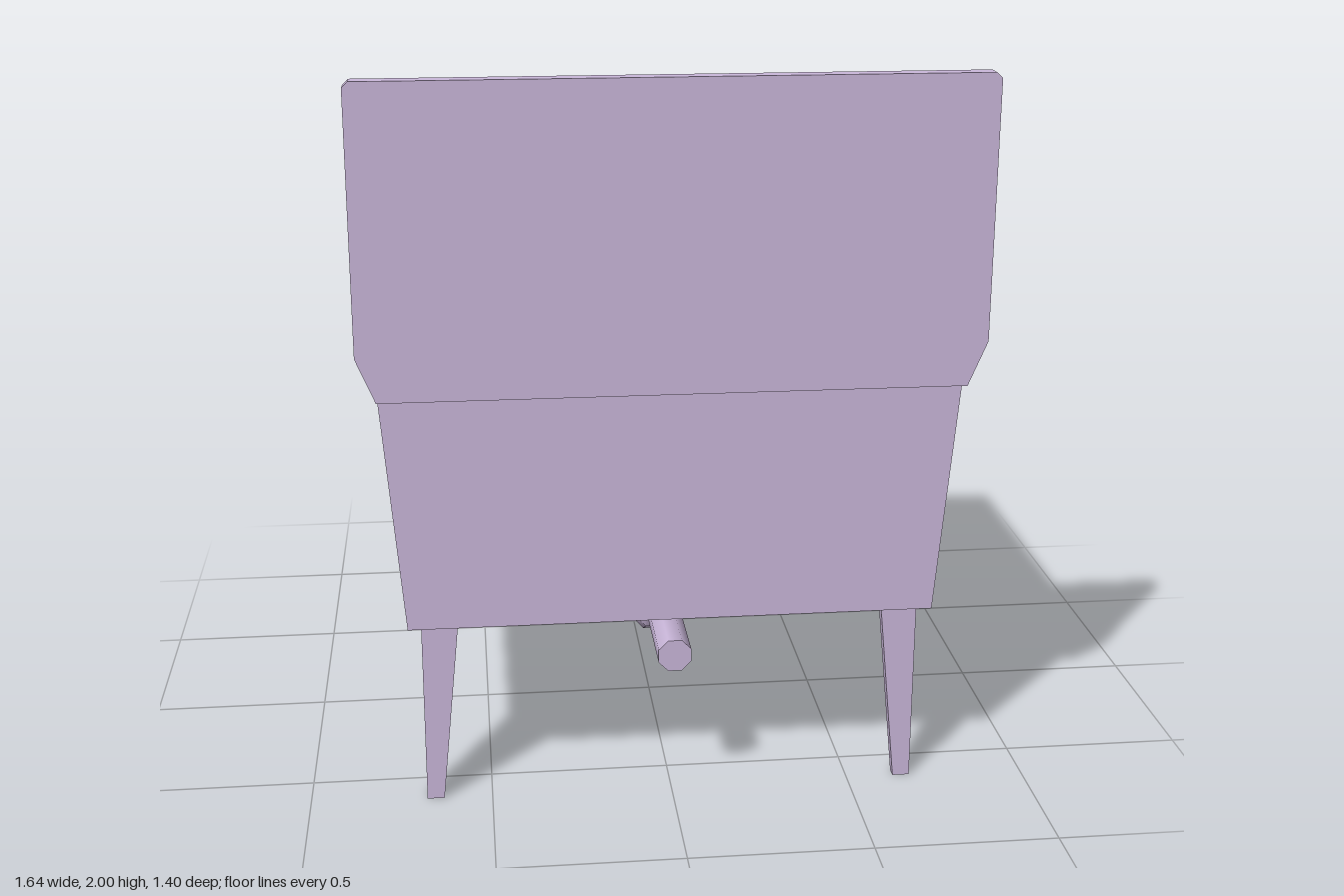
import * as THREE from 'three';
import { toCreasedNormals } from 'three/addons/utils/BufferGeometryUtils.js';

const material = new THREE.MeshStandardMaterial({ color: 0xcbb8db });

// Skin a stack of rings (arrays of Vector3, counter-clockwise about the travel direction), closing both ends
function loft(rings) {
  const pos = [];
  const tri = (a, b, c) => [a, b, c].forEach((p) => pos.push(p.x, p.y, p.z));
  const n = rings[0].length;
  for (let i = 0; i < rings.length - 1; i++) {
    for (let j = 0; j < n; j++) {
      const k = (j + 1) % n;
      tri(rings[i][j], rings[i][k], rings[i + 1][k]);
      tri(rings[i][j], rings[i + 1][k], rings[i + 1][j]);
    }
  }
  const first = rings[0], last = rings[rings.length - 1];
  for (let j = 1; j < n - 1; j++) {
    tri(first[0], first[j + 1], first[j]);
    tri(last[0], last[j], last[j + 1]);
  }
  const geo = new THREE.BufferGeometry();
  geo.setAttribute('position', new THREE.Float32BufferAttribute(pos, 3));
  geo.computeVertexNormals();
  return geo;
}

const rect = (y, x, zBack, zFront) => [[-x, zBack], [x, zBack], [x, zFront], [-x, zFront]]
  .map(([px, pz]) => new THREE.Vector3(px, y, pz));

// Mitred round pipe along a path that lies in one plane with normal "side"
function pipe(points, radius, side, sides = 8) {
  const pts = points.map((p) => new THREE.Vector3(...p));
  const rings = pts.map((p, i) => {
    const before = p.clone().sub(pts[Math.max(i - 1, 0)]).normalize();
    const after = pts[Math.min(i + 1, pts.length - 1)].clone().sub(p).normalize();
    const t = before.clone().add(after).normalize();
    const stretch = 1 / Math.max(t.dot(before), t.dot(after));
    const normal = t.clone().cross(side);
    return Array.from({ length: sides }, (_, k) => {
      const a = ((k + 0.5) / sides) * Math.PI * 2;
      return p.clone().addScaledVector(side, radius * Math.cos(a))
        .addScaledVector(normal, radius * stretch * Math.sin(a));
    });
  });
  return toCreasedNormals(loft(rings), 1.0);
}

// L-section leg, tapering towards the foot
function leg(sx, sz) {
  const zOuter = sz > 0 ? 0.62 : -0.56;
  const ring = (y, w, d, t) => {
    let [first, ...rest] = [[0, 0], [w, 0], [w, t], [t, t], [t, d], [0, d]];
    if (sx * sz > 0) rest = rest.reverse();
    return [first, ...rest].map(([u, v]) => new THREE.Vector3(sx * (0.68 - u), y, zOuter - sz * v));
  };
  return loft([ring(0, 0.047, 0.047, 0.03), ring(0.53, 0.1, 0.2, 0.03)]);
}

// Flat lever with an upturned tip
function leverGeometry() {
  const shape = new THREE.Shape([
    [0, 1.375], [0.3, 1.385], [0.335, 1.42], [0.345, 1.55], [0.325, 1.55],
    [0.315, 1.435], [0.285, 1.41], [0, 1.435],
  ].map(([x, y]) => new THREE.Vector2(x, y)));
  const geo = new THREE.ExtrudeGeometry(shape, { depth: 1, bevelEnabled: false });
  // Narrow the lever towards its tip
  const p = geo.attributes.position;
  for (let i = 0; i < p.count; i++) {
    p.setZ(i, (p.getZ(i) - 0.5) * (0.034 - 0.07 * p.getX(i)));
  }
  geo.computeVertexNormals();
  return geo;
}

export function createModel() {
  const group = new THREE.Group();
  const add = (name, geo, x = 0, y = 0, z = 0, parent = group) => {
    const mesh = new THREE.Mesh(geo, material);
    mesh.name = name;
    mesh.position.set(x, y, z);
    parent.add(mesh);
    return mesh;
  };

  // Basin: outer wall, flared rim, then the inner wall down to the floor
  add('basin', loft([
    rect(0.525, 0.715, 0.65, -0.6),
    rect(1.18, 0.77, 0.65, -0.655),
    rect(1.3, 0.82, 0.65, -0.7),
    rect(1.3, 0.76, 0.44, -0.65),
    rect(0.56, 0.685, 0.44, -0.56),
  ]));
  add('drain', new THREE.CylinderGeometry(0.057, 0.057, 0.012, 8), 0, 0.562, -0.08);

  // Ledge and splash panel
  add('ledge', new THREE.BoxGeometry(1.64, 0.045, 0.21), 0, 1.3225, 0.545);
  const half = [[0.77, 1.18], [0.82, 1.3], [0.82, 1.985], [0.805, 2]];
  const outline = [...half, ...half.map(([x, y]) => [-x, y]).reverse()];
  const panel = new THREE.Shape(outline.map(([x, y]) => new THREE.Vector2(x, y)));
  add('splashPanel', new THREE.ExtrudeGeometry(panel, { depth: 0.05, bevelEnabled: false }), 0, 0, 0.65);

  // Legs
  for (const sx of [1, -1]) {
    for (const sz of [1, -1]) {
      add(`${sz > 0 ? 'front' : 'back'}${sx > 0 ? 'Left' : 'Right'}Leg`, leg(sx, sz));
    }
  }

  // Waste pipe with its trap
  add('wastePipe', pipe([
    [0, 0.44, 0.7], [0, 0.44, 0.145], [0, 0.41, 0.09], [0, 0.285, 0.062], [0, 0.253, 0],
    [0, 0.28, -0.055], [0, 0.325, -0.077], [0, 0.54, -0.077],
  ], 0.048, new THREE.Vector3(1, 0, 0)));

  // Tap: base plate, swivelled spout and two lever handles
  const tap = new THREE.Group();
  tap.name = 'tap';
  group.add(tap);
  add('tapPlate', new THREE.BoxGeometry(0.62, 0.02, 0.1), 0, 1.355, 0.54, tap);
  const spout = add('spout', pipe([
    [0, 1.35, 0], [0, 1.505, 0], [0, 1.525, -0.02], [0, 1.53, -0.04], [0, 1.53, -0.475],
    [0, 1.52, -0.5], [0, 1.495, -0.512], [0, 1.42, -0.512],
  ], 0.022, new THREE.Vector3(1, 0, 0)), 0, 0, 0.53, tap);
  spout.rotation.y = -0.11;
  for (const s of [1, -1]) {
    const handle = new THREE.Group();
    handle.name = s > 0 ? 'leftHandle' : 'rightHandle';
    handle.position.set(s * 0.155, 0, 0.54);
    handle.rotation.y = s > 0 ? 0.1 : Math.PI - 0.1;
    tap.add(handle);
    const knob = new THREE.CylinderGeometry(0.03, 0.036, 0.08, 6).toNonIndexed();
    knob.computeVertexNormals();
    add('knob', knob, 0, 1.4, 0, handle);
    add('lever', leverGeometry(), 0, 0, 0, handle);
  }
  return group;
}
